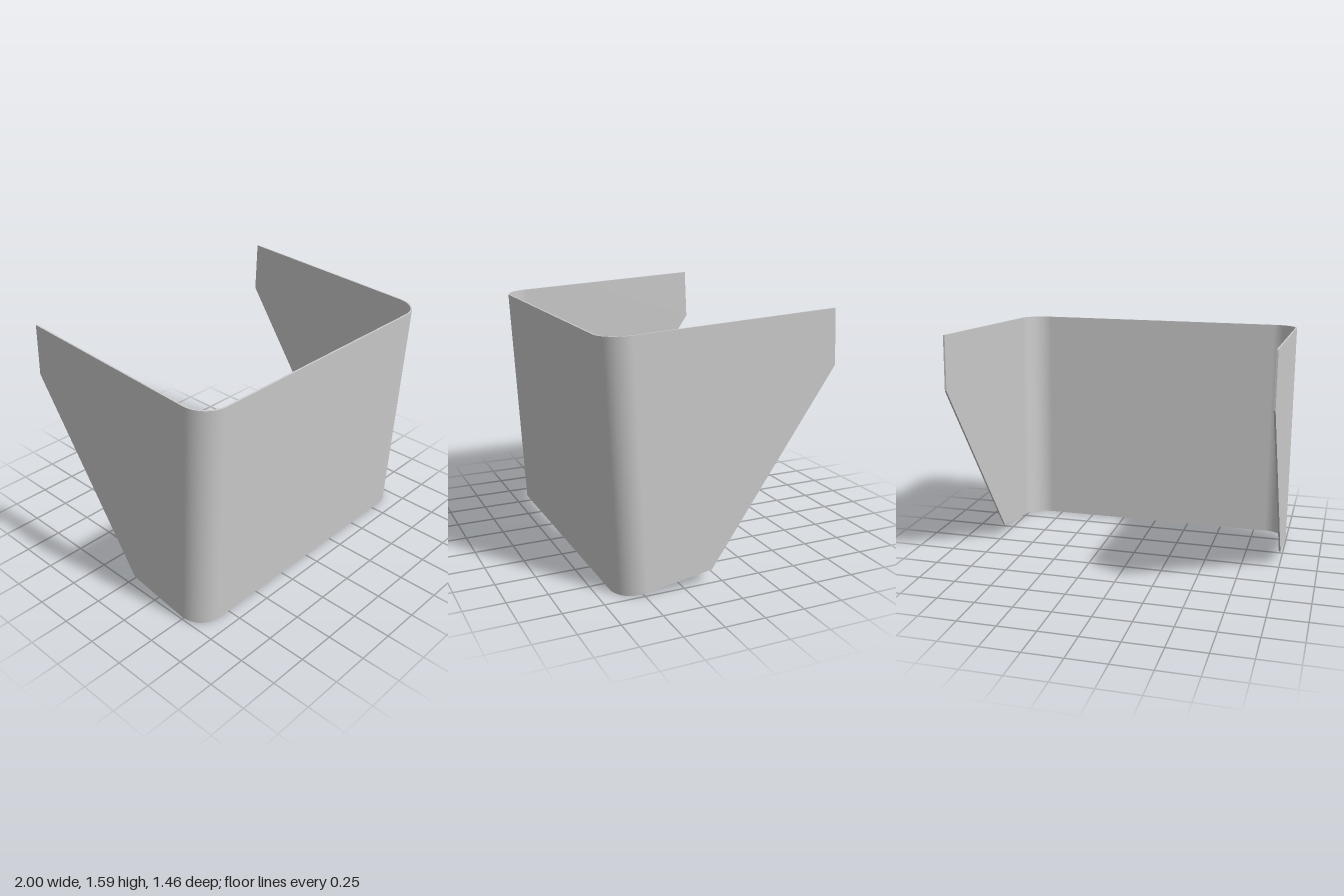
import * as THREE from 'three';
import { mergeGeometries } from 'three/addons/utils/BufferGeometryUtils.js';

const HEIGHT = 1.517, DEPTH = 1.447, RADIUS = 0.17, THICK = 0.011, TILT = 0.0518;

// Lower edge of the sheet, as height for a distance back from the front face
function lowerEdge(d) {
  if (d < 0.055) return 0;
  if (d < 0.589) return 0.0546 * (d - 0.055) / 0.534;
  return 0.0546 + (1.177 - 0.0546) * (d - 0.589) / (DEPTH - 0.589);
}

// Plan of the bend: points with outward normals, from the left rear round to the right rear
function planStations() {
  const half = [[1, DEPTH, 1, 0], [1, 0.589, 1, 0]];
  const steps = 20;
  for (let i = 0; i <= steps; i++) {
    const a = (i / steps) * Math.PI / 2, c = Math.cos(a), s = Math.sin(a);
    half.push([1 - RADIUS + RADIUS * c, RADIUS - RADIUS * s, c, -s]);
  }
  return [...half, ...half.map(([x, d, nx, nd]) => [-x, d, -nx, nd]).reverse()];
}

// Ribbon between two rows of points, smooth or faceted
function ribbon(p, q, smooth) {
  let g = new THREE.BufferGeometry().setFromPoints([...p, ...q]);
  const n = p.length, index = [];
  for (let i = 0; i < n - 1; i++) {
    index.push(i, n + i, n + i + 1, i, n + i + 1, i + 1);
  }
  g.setIndex(index);
  if (smooth) g.computeVertexNormals();
  g = g.toNonIndexed();
  if (!smooth) g.computeVertexNormals();
  return g;
}

export function createModel() {
  const group = new THREE.Group();
  group.name = 'bentSheetCover';

  const rows = { outTop: [], outLow: [], inTop: [], inLow: [] };
  for (const [x, d, nx, nd] of planStations()) {
    const low = lowerEdge(d);
    const xi = x - nx * THICK, di = d - nd * THICK;
    rows.outTop.push(new THREE.Vector3(x, HEIGHT, -d));
    rows.outLow.push(new THREE.Vector3(x, low, -d));
    rows.inTop.push(new THREE.Vector3(xi, HEIGHT, -di));
    rows.inLow.push(new THREE.Vector3(xi, low, -di));
  }
  const { outTop, outLow, inTop, inLow } = rows;
  const e = outTop.length - 1;

  // Outer and inner skins, cut edges and the two rear end faces
  const geometry = mergeGeometries([
    ribbon(outLow, outTop, true),
    ribbon(inTop, inLow, true),
    ribbon(outTop, inTop, false),
    ribbon(inLow, outLow, false),
    ribbon([outLow[0], outTop[0]], [inLow[0], inTop[0]], false),
    ribbon([inLow[e], inTop[e]], [outLow[e], outTop[e]], false),
  ]);

  // The whole sheet leans slightly forward
  geometry.rotateX(TILT);
  geometry.translate(0, 0, 0.655);

  const sheet = new THREE.Mesh(geometry, new THREE.MeshStandardMaterial({ color: 0xcccccc }));
  sheet.name = 'bentSheet';
  group.add(sheet);
  return group;
}
